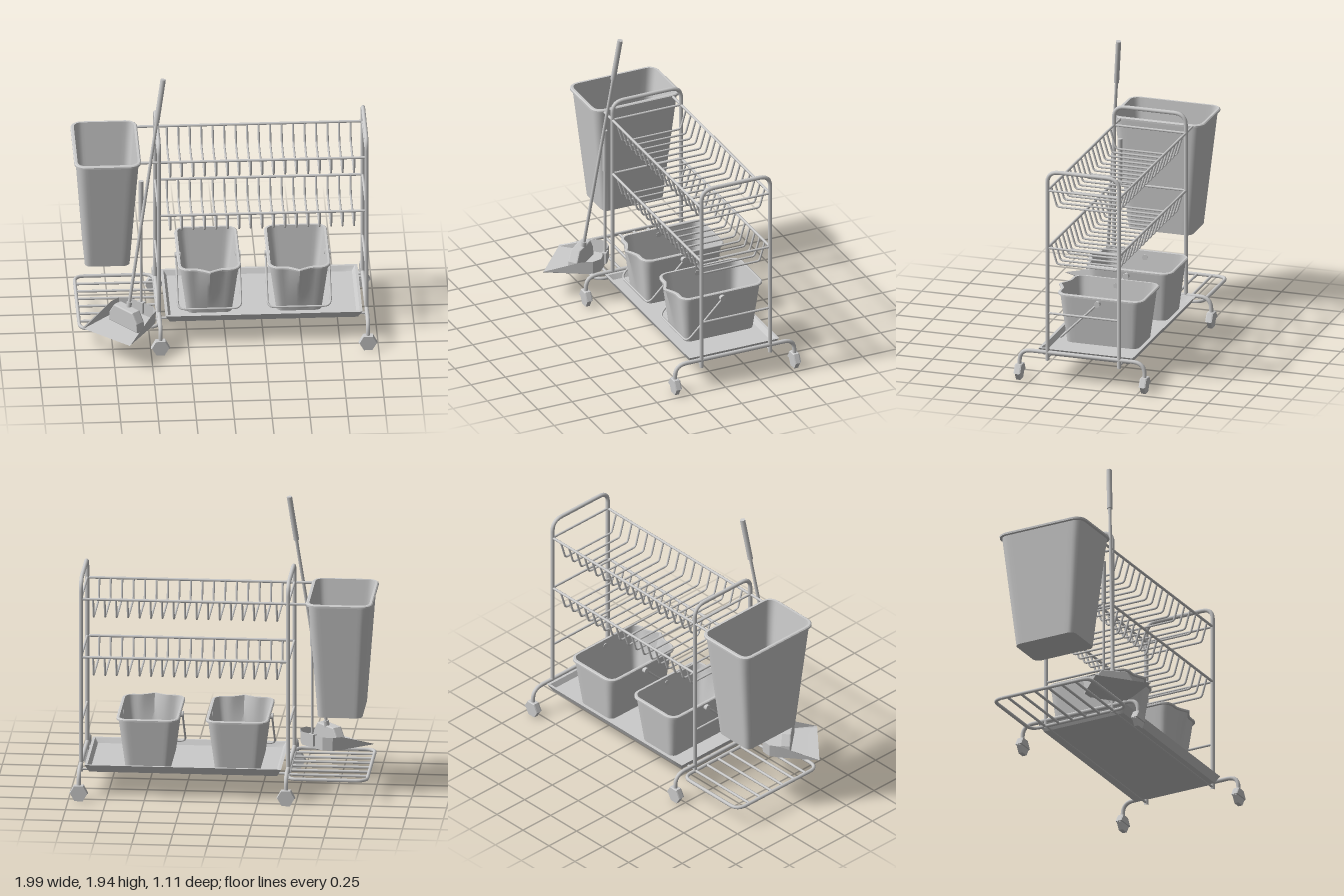
import * as THREE from 'three';
import { toCreasedNormals } from 'three/addons/utils/BufferGeometryUtils.js';

const V = (x, y, z) => new THREE.Vector3(x, y, z);
const grey = new THREE.MeshStandardMaterial({ color: 0xcccccc });
const greyThin = new THREE.MeshStandardMaterial({ color: 0xcccccc, side: THREE.DoubleSide });
const ZC = -0.108, ZF = 0.142, ZB = -0.358; // middle, front and back planes of the cart
const XL = -0.44, XR = 0.93;                // the two end frames

function add(parent, name, geometry, material = grey) {
  const mesh = new THREE.Mesh(geometry, material);
  mesh.name = name;
  parent.add(mesh);
  return mesh;
}

// Straight rod between two points
function rod(parent, name, a, b, r, sides = 10) {
  const mesh = add(parent, name, new THREE.CylinderGeometry(r, r, a.distanceTo(b), sides));
  mesh.position.copy(a).lerp(b, 0.5);
  mesh.quaternion.setFromUnitVectors(V(0, 1, 0), b.clone().sub(a).normalize());
  return mesh;
}

// Curve that follows a list of points exactly
class PathCurve extends THREE.Curve {
  constructor(pts) { super(); this.pts = pts; }
  getPoint(t, target = new THREE.Vector3()) {
    const f = t * (this.pts.length - 1), i = Math.min(Math.floor(f), this.pts.length - 2);
    return target.lerpVectors(this.pts[i], this.pts[i + 1], f - i);
  }
  getPointAt(t, target) { return this.getPoint(t, target); }
  getTangentAt(t, target) { return this.getTangent(t, target); }
}

// Bent wire: straight runs joined by rounded corners
function wire(parent, name, corners, r, bend, sides = 8, closed = false) {
  const n = corners.length, pts = [];
  corners.forEach((p, i) => {
    if (!closed && (i === 0 || i === n - 1)) { pts.push(p); return; }
    const toward = (q) => p.clone().add(q.clone().sub(p).setLength(bend));
    const curve = new THREE.QuadraticBezierCurve3(
      toward(corners[(i + n - 1) % n]), p, toward(corners[(i + 1) % n]));
    pts.push(...curve.getPoints(6));
  });
  if (closed) pts.push(pts[0].clone());
  return add(parent, name, new THREE.TubeGeometry(new PathCurve(pts), pts.length - 1, r, sides, false));
}

// Outline of a rounded rectangle, with points along its sides
function ring(hx, hz, r, y) {
  const out = [], arc = 5, side = 12;
  for (let q = 0; q < 4; q++) {
    const sx = q === 0 || q === 3 ? 1 : -1, sz = q < 2 ? 1 : -1;
    for (let k = 0; k <= arc; k++) {
      const a = (q + k / arc) * Math.PI / 2;
      out.push(V(sx * (hx - r) + r * Math.cos(a), y, sz * (hz - r) + r * Math.sin(a)));
    }
    const from = out[out.length - 1].clone(), to = q % 2 === 0
      ? V(-sx * (hx - r), y, from.z) : V(from.x, y, -sz * (hz - r));
    for (let k = 1; k < side; k++) out.push(from.clone().lerp(to, k / side));
  }
  return out;
}

// Skin over rounded-rectangle sections [halfX, halfZ, radius, y]
function vessel(sections, shape = (p) => p) {
  const rings = sections.map((s) => ring(...s).map(shape));
  const n = rings[0].length, pos = [], index = [];
  rings.flat().forEach((p) => pos.push(p.x, p.y, p.z));
  for (let i = 0; i < rings.length - 1; i++) for (let k = 0; k < n; k++) {
    const a = i * n + k, b = i * n + (k + 1) % n;
    index.push(a, a + n, b, b, a + n, b + n);
  }
  const g = new THREE.BufferGeometry();
  g.setAttribute('position', new THREE.Float32BufferAttribute(pos, 3));
  g.setIndex(index);
  return toCreasedNormals(g, 0.6);
}

// Tapered open container with a rolled rim
function container(bx, bz, tx, tz, h, r, rim, shape) {
  const s = [[0, 0, 0, 0]], wall = 0.008, steps = 6;
  const at = (t, d) => [bx + (tx - bx) * t + d, bz + (tz - bz) * t + d, r * (0.7 + 0.3 * t) + d, h * t];
  for (let i = 0; i <= steps; i++) s.push(at(i / steps * (1 - rim * 1.5 / h), 0));
  for (const [d, y] of [[rim, rim * 1.3], [rim, rim * 0.4], [rim * 0.5, 0], [-wall, 0]]) {
    const e = at(1, d);
    e[3] = h - y;
    s.push(e);
  }
  for (let i = steps - 1; i >= 0; i--) s.push(at(Math.max(i / steps, wall / h), -wall));
  s.push([0, 0, 0, wall]);
  return vessel(s, shape);
}

function endFrame(parent, x) {
  const g = new THREE.Group();
  g.name = 'endFrame';
  parent.add(g);
  wire(g, 'endHoop', [V(x, 0.15, ZF), V(x, 1.468, ZF), V(x, 1.468, ZB), V(x, 0.15, ZB)], 0.014, 0.08, 10);
  for (const y of [0.48, 0.935, 1.335]) rod(g, 'crossBar', V(x, y, ZF), V(x, y, ZB), 0.008);
  const zf = 0.335, zb = -0.535;
  wire(g, 'footBar', [V(x, 0.08, zf), V(x, 0.205, zf), V(x, 0.205, zb), V(x, 0.08, zb)], 0.014, 0.08, 10);
  for (const z of [zf, zb]) {
    // Six-sided caster wheel under a wider half hood
    const wheel = add(g, 'casterWheel', new THREE.CylinderGeometry(0.055, 0.055, 0.03, 6).toNonIndexed());
    wheel.geometry.rotateY(Math.PI / 2).rotateX(Math.PI / 2);
    wheel.geometry.computeVertexNormals();
    wheel.position.set(x, 0.048, z);
    const hood = new THREE.Shape([[-0.058, 0], [0.058, 0], [0.03, 0.05], [-0.03, 0.05]]
      .map((p) => new THREE.Vector2(...p)));
    add(g, 'casterHood', new THREE.ExtrudeGeometry(hood, {
      depth: 0.03, bevelEnabled: true, bevelSize: 0.003, bevelThickness: 0.008, bevelSegments: 1,
    })).position.set(x, 0.054, z - 0.015);
  }
}

function dishRack(parent, y) {
  const g = new THREE.Group();
  g.name = 'dishRack';
  parent.add(g);
  const left = y > 1.2 ? -0.57 : XL;
  for (const z of [ZF, ZB]) rod(g, 'rackRail', V(left, y, z), V(XR, y, z), 0.009);
  for (let i = 0; i < 17; i++) {
    const x = -0.363 + i * 0.0758;
    wire(g, 'rackWire', [V(x, y, ZF), V(x, y - 0.135, ZF - 0.04), V(x, y - 0.135, ZB + 0.04), V(x, y, ZB)], 0.007, 0.02, 6);
  }
}

function bucket(parent, x) {
  const g = new THREE.Group();
  g.name = 'bucket';
  g.position.set(x, 0.185, -0.135);
  parent.add(g);
  // The front wall swells into a pouring lip toward the rim
  const lip = (p) => {
    if (p.z > 0.2) p.z += 0.045 * Math.pow(Math.max(0, 1 - Math.abs(p.x) / 0.09), 1.3) * Math.pow(p.y / 0.35, 1.5);
    return p;
  };
  add(g, 'bucketBody', container(0.15, 0.25, 0.196, 0.29, 0.35, 0.06, 0.012, lip));
  const w = 0.209;
  wire(g, 'bucketHandle', [V(-w, 0.305, 0.01), V(-w, 0.04, 0.272), V(w, 0.04, 0.272), V(w, 0.305, 0.01)], 0.007, 0.05);
  for (const s of [-1, 1]) rod(g, 'handlePivot', V(s * 0.18, 0.305, 0.01), V(s * 0.217, 0.305, 0.01), 0.02, 12);
}

function dustpan(parent) {
  const g = new THREE.Group();
  g.name = 'dustpan';
  g.position.set(-0.8, 0, 0.42);
  g.rotation.y = -0.715;
  parent.add(g);
  // Channel sections from the open lip to the tall back wall
  const pos = [], index = [], rows = [[0, 0.2, 0.185, 0.192], [-0.26, 0.168, 0.195, 0.285], [-0.33, 0.155, 0.2, 0.29], [-0.37, 0.1, 0.2, 0.29]];
  for (const [z, w, y, top] of rows) pos.push(-w, top, z, -w * 0.96, y, z, w * 0.96, y, z, w, top, z);
  for (let i = 0; i < rows.length - 1; i++) for (let k = 0; k < 3; k++) {
    const a = i * 4 + k;
    index.push(a, a + 1, a + 4, a + 1, a + 5, a + 4);
  }
  const b = (rows.length - 1) * 4;
  index.push(b, b + 1, b + 2, b, b + 2, b + 3);
  const pan = new THREE.BufferGeometry();
  pan.setAttribute('position', new THREE.Float32BufferAttribute(pos, 3));
  pan.setIndex(index);
  add(g, 'pan', toCreasedNormals(pan, 0.3), greyThin);
  add(g, 'handleSocket', new THREE.BoxGeometry(0.05, 0.08, 0.03)).position.set(0, 0.255, -0.37);
  rod(g, 'panHandle', V(0, 0.28, -0.37), V(0, 0.92, -0.37), 0.009);
  rod(g, 'panGrip', V(0, 0.9, -0.37), V(0, 1.2, -0.37), 0.016, 12);
}

function broom(parent) {
  const g = new THREE.Group();
  g.name = 'broom';
  parent.add(g);
  const low = V(-0.65, 0.29, 0.26), top = V(-0.41, 1.935, 0.1);
  const gripStart = low.clone().lerp(top, 0.815);
  rod(g, 'broomHandle', low, gripStart, 0.011);
  rod(g, 'broomGrip', gripStart, top, 0.018, 12);
  rod(g, 'broomFerrule', low, low.clone().lerp(top, 0.04), 0.018, 12);
  const outline = new THREE.Shape([[-0.13, 0.2], [0.13, 0.2], [0.125, 0.255], [0.085, 0.318], [-0.085, 0.318], [-0.125, 0.255]]
    .map((p) => new THREE.Vector2(...p)));
  const head = add(g, 'broomHead', new THREE.ExtrudeGeometry(outline, {
    depth: 0.05, bevelEnabled: true, bevelSize: 0.006, bevelThickness: 0.01, bevelSegments: 2,
  }).translate(0, 0, -0.025));
  head.position.set(-0.66, 0, 0.27);
  head.rotation.y = -0.86;
}

export function createModel() {
  const model = new THREE.Group();
  model.name = 'dishRackCart';
  for (const x of [XL, XR]) endFrame(model, x);
  for (const y of [1.335, 0.935]) dishRack(model, y);
  for (const z of [ZF, ZB]) rod(model, 'bottomRail', V(XL, 0.168, z), V(XR, 0.168, z), 0.008);

  // Drip tray with sloping sides
  add(model, 'dripTray', vessel([
    [0, 0, 0, 0.165], [0.622, 0.3, 0.004, 0.165], [0.65, 0.328, 0.004, 0.217],
    [0.632, 0.31, 0.004, 0.217], [0.612, 0.29, 0.004, 0.185], [0, 0, 0, 0.185],
  ])).position.set(0.25, 0, -0.112);
  for (const x of [-0.105, 0.487]) bucket(model, x);

  // Side shelf: a rounded loop with slats
  const x0 = -0.968, x1 = -0.445, y = 0.163, z0 = -0.468, z1 = 0.255;
  wire(model, 'shelfFrame', [V(x0, y, z0), V(x1, y, z0), V(x1, y, z1), V(x0, y, z1)], 0.012, 0.07, 8, true);
  for (let i = 0; i < 6; i++) {
    const z = -0.36 + i * 0.102;
    rod(model, 'shelfSlat', V(x0, y, z), V(x1, y, z), 0.009, 8);
  }

  // Tall hanging waste bin
  add(model, 'wasteBin', container(0.148, 0.222, 0.206, 0.308, 0.8, 0.06, 0.014))
    .position.set(-0.778, 0.55, ZC);
  dustpan(model);
  broom(model);
  return model;
}
